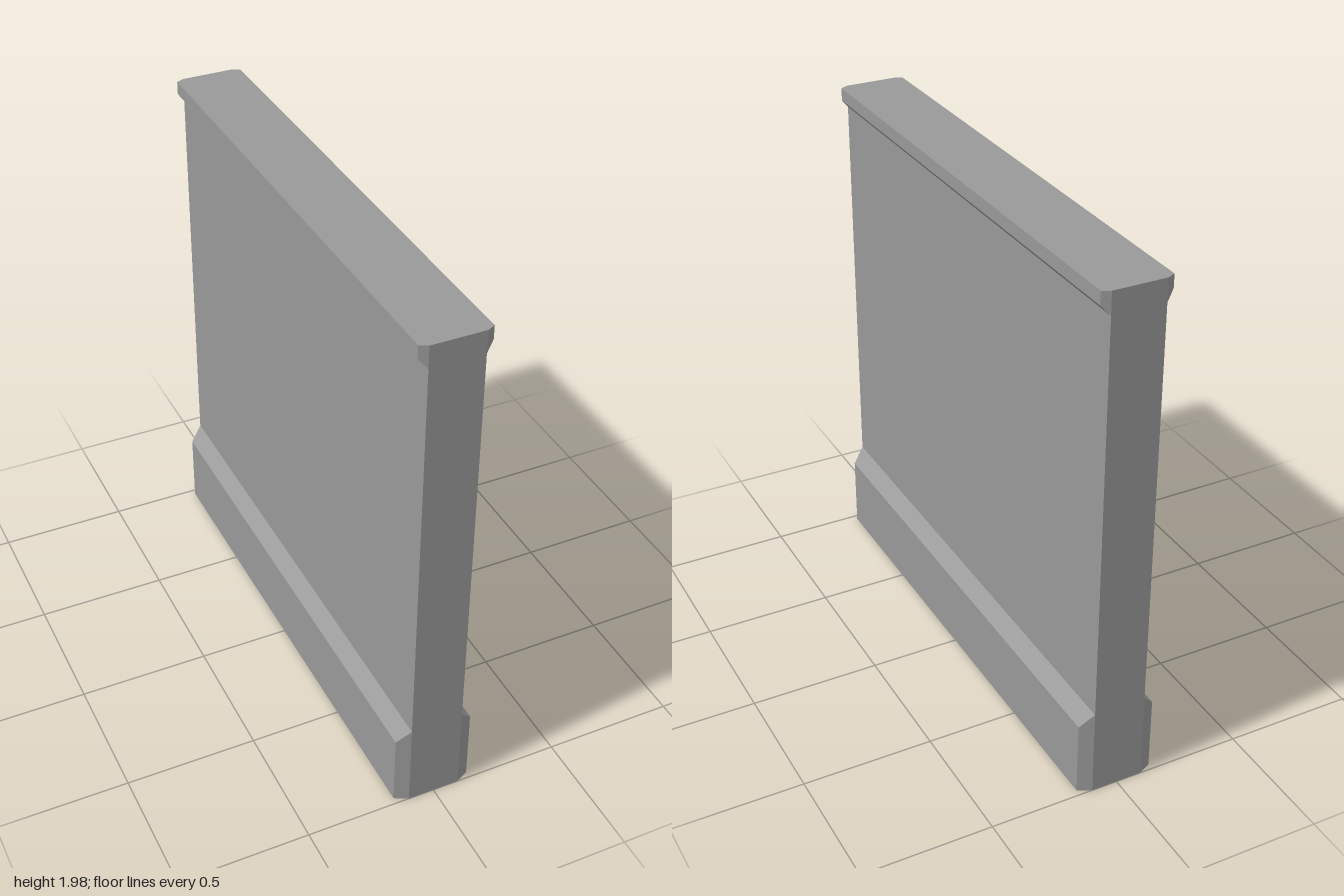
import * as THREE from 'three';

const HALF = 0.1; // half thickness of the wall panel

// Eight-cornered plan outline: width w each side, ends chamfered back to the panel
function ring(y, w) {
  const z = 1 - (w - HALF) / 2;
  return [
    [HALF, 1], [w, z], [w, -z], [HALF, -1],
    [-HALF, -1], [-w, -z], [-w, z], [-HALF, 1],
  ].map(([x, pz]) => new THREE.Vector3(x, y, pz));
}

// Flat-faced loft through [y, w] levels, with optional end caps
function loft(levels, capBottom, capTop) {
  const rings = levels.map(([y, w]) => ring(y, w));
  const pos = [];
  const tri = (a, b, c) => {
    if (new THREE.Triangle(a, b, c).getArea() < 1e-8) return;
    for (const p of [a, b, c]) pos.push(p.x, p.y, p.z);
  };
  for (let r = 0; r < rings.length - 1; r++) {
    const lo = rings[r], hi = rings[r + 1];
    for (let i = 0; i < 8; i++) {
      const j = (i + 1) % 8;
      tri(lo[i], lo[j], hi[j]);
      tri(lo[i], hi[j], hi[i]);
    }
  }
  const first = rings[0], last = rings[rings.length - 1];
  for (let i = 1; i < 7; i++) {
    if (capBottom) tri(first[0], first[i + 1], first[i]);
    if (capTop) tri(last[0], last[i], last[i + 1]);
  }
  const g = new THREE.BufferGeometry();
  g.setAttribute('position', new THREE.Float32BufferAttribute(pos, 3));
  g.computeVertexNormals();
  return g;
}

export function createModel() {
  const group = new THREE.Group();
  group.name = 'wall';
  const grey = new THREE.MeshStandardMaterial({ color: 0x999999 });
  grey.name = 'grey';

  const add = (name, geometry) => {
    const mesh = new THREE.Mesh(geometry, grey);
    mesh.name = name;
    group.add(mesh);
  };

  // Skirting with a sloped upper edge
  add('base', loft([[0, 0.15], [0.29, 0.15], [0.345, HALF]], true, false));
  // Plain wall between base and cap
  add('panel', loft([[0.345, HALF], [1.895, HALF]], false, false));
  // Cap rail with a sloped underside
  add('cap', loft([[1.895, HALF], [1.93, 0.13], [1.98, 0.13]], false, true));

  return group;
}
